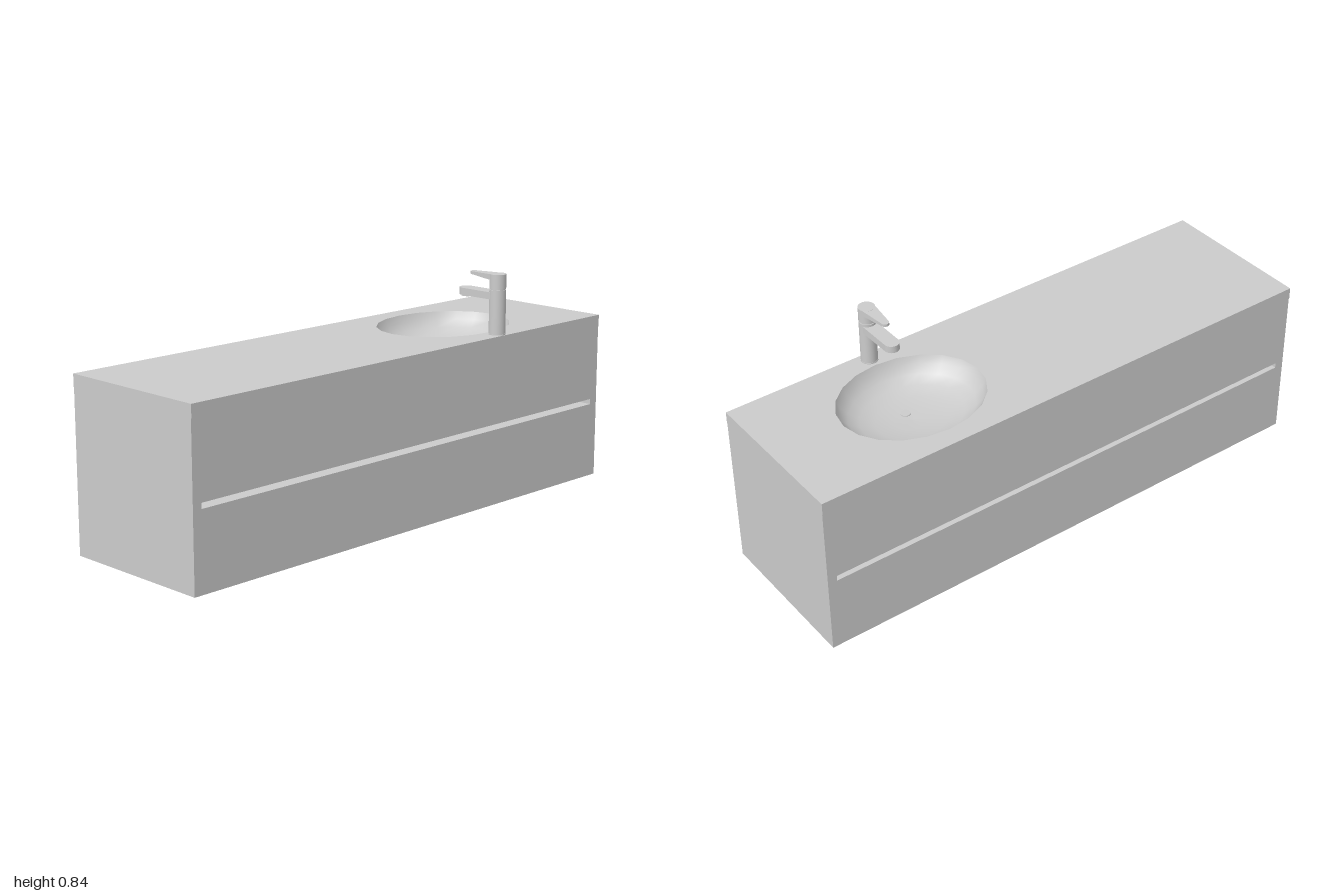
import * as THREE from 'three';

const material = new THREE.MeshStandardMaterial({ color: 0xcccccc, side: THREE.DoubleSide });

const W = 0.59, TOP = 0.62, SLAB = 0.045, END = 0.035;
const SLOT_LOW = 0.28, SLOT_HIGH = 0.3;
const BASIN = { x: -0.003, z: -0.46, rx: 0.222, rz: 0.27, sides: 20 };
const TAP = { x: 0.26, z: -0.455, r: 0.03 };

export function createModel() {
  const model = new THREE.Group();

  function add(parent, name, geometry, x = 0, y = 0, z = 0) {
    const mesh = new THREE.Mesh(geometry, material);
    mesh.name = name;
    mesh.position.set(x, y, z);
    parent.add(mesh);
    return mesh;
  }
  // Box given by its size in x and z and its bottom and top heights
  function board(parent, name, w, d, y0, y1, x = 0, z = 0) {
    return add(parent, name, new THREE.BoxGeometry(w, y1 - y0, d), x, (y0 + y1) / 2, z);
  }
  // Flat outline in x and -z, extruded upwards
  function plate(shape, height) {
    return new THREE.ExtrudeGeometry(shape, { depth: height, bevelEnabled: false, curveSegments: 12 })
      .rotateX(-Math.PI / 2);
  }

  // Cabinet: end panels with two rows of drawers and an open slot between them
  const cabinet = new THREE.Group();
  cabinet.name = 'cabinet';
  model.add(cabinet);
  const bodyTop = TOP - SLAB, bodyW = W - 0.004, inner = 1 - END;
  for (const s of [-1, 1]) {
    board(cabinet, 'endPanel', bodyW, END, 0, bodyTop, 0, s * (1 - END / 2));
    board(cabinet, 'lowerDrawer', bodyW, inner, 0, SLOT_LOW, 0, s * inner / 2);
    board(cabinet, 'upperDrawerFloor', bodyW - 0.04, inner, SLOT_HIGH, SLOT_HIGH + 0.02, 0, s * inner / 2);
    for (const side of [-1, 1]) {
      board(cabinet, 'upperDrawerFront', 0.02, inner, SLOT_HIGH, bodyTop, side * (bodyW / 2 - 0.01), s * inner / 2);
    }
  }

  // Worktop with an oval cut-out
  const slab = new THREE.Shape([
    new THREE.Vector2(-W / 2, -1), new THREE.Vector2(W / 2, -1),
    new THREE.Vector2(W / 2, 1), new THREE.Vector2(-W / 2, 1),
  ]);
  const rim = [];
  for (let i = 0; i < BASIN.sides; i++) {
    const a = (i / BASIN.sides) * Math.PI * 2;
    rim.push(new THREE.Vector2(BASIN.x + BASIN.rx * Math.sin(a), -BASIN.z - BASIN.rz * Math.cos(a)));
  }
  slab.holes.push(new THREE.Path(rim));
  add(model, 'worktop', plate(slab, SLAB), 0, bodyTop, 0);

  // Oval bowl and its drain
  const bowl = [[0, -0.1], [0.25, -0.098], [0.5, -0.09], [0.7, -0.076], [0.85, -0.055], [0.95, -0.028], [1, 0]]
    .map(([r, y]) => new THREE.Vector2(r, y));
  add(model, 'basin', new THREE.LatheGeometry(bowl, BASIN.sides), BASIN.x, TOP, BASIN.z)
    .scale.set(BASIN.rx, 1, BASIN.rz);
  add(model, 'drain', new THREE.CylinderGeometry(0.018, 0.018, 0.004, 16), 0.04, TOP - 0.098, BASIN.z);

  // Tap
  const tap = new THREE.Group();
  tap.name = 'tap';
  tap.position.set(TAP.x, 0, TAP.z);
  model.add(tap);
  function column(name, r, y0, y1, x = 0) {
    add(tap, name, new THREE.CylinderGeometry(r, r, y1 - y0, 28), x, (y0 + y1) / 2, 0);
  }
  column('tapBase', TAP.r + 0.001, TOP, TOP + 0.004);
  column('tapColumn', TAP.r, TOP, 0.782);
  column('tapNeck', TAP.r - 0.003, 0.78, 0.788);
  column('tapCap', TAP.r, 0.786, 0.838);

  // Tongue outline reaching towards -x, rounded at the tip
  function tongue(rootHalf, tipHalf, tipX) {
    const shape = new THREE.Shape();
    shape.moveTo(0, rootHalf);
    shape.lineTo(tipX + tipHalf, tipHalf);
    shape.absarc(tipX + tipHalf, 0, tipHalf, Math.PI / 2, Math.PI * 1.5, false);
    shape.lineTo(0, -rootHalf);
    shape.closePath();
    return shape;
  }
  add(tap, 'spout', plate(tongue(0.027, 0.027, -0.173), 0.026), 0, 0.747, 0);
  column('aerator', 0.021, 0.742, 0.75, -0.143);

  // Lever, thinning towards its tip
  const lever = plate(tongue(0.028, 0.014, -0.126), 1);
  const p = lever.attributes.position;
  for (let i = 0; i < p.count; i++) {
    const t = -p.getX(i) / 0.126;
    const low = 0.816 + 0.01 * t, high = 0.838 - 0.003 * t;
    p.setY(i, low + (high - low) * p.getY(i));
  }
  lever.computeVertexNormals();
  add(tap, 'lever', lever);

  return model;
}
